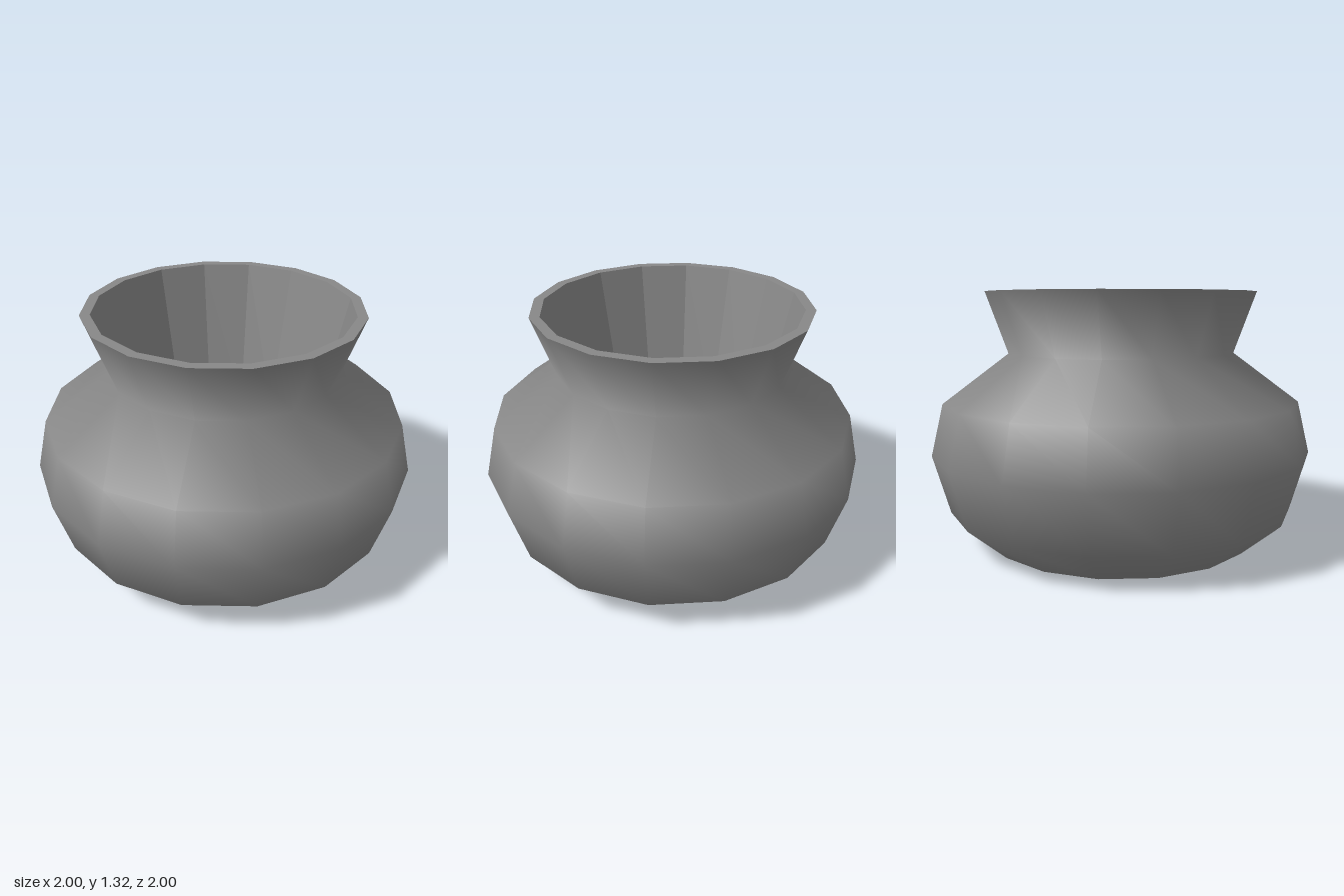
import * as THREE from 'three';

const SIDES = 16;

// Turns a [radius, height] profile around the y axis
function turned(name, profile, flatShading) {
  const points = profile.map(([r, y]) => new THREE.Vector2(r, y));
  const geometry = new THREE.LatheGeometry(points, SIDES);
  geometry.normalizeNormals();
  const material = new THREE.MeshStandardMaterial({
    color: 0x888888, flatShading, side: THREE.DoubleSide,
  });
  const mesh = new THREE.Mesh(geometry, material);
  mesh.name = name;
  return mesh;
}

export function createModel() {
  const pot = new THREE.Group();
  pot.name = 'pot';

  // Smooth outer shell, open at the base, with a flared neck
  pot.add(turned('outerShell', [
    [0.71, 0], [0.913, 0.175], [1, 0.48], [0.937, 0.748], [0.597, 1.0], [0.71, 1.317],
  ], false));

  // Flat ring around the mouth
  pot.add(turned('rim', [[0.71, 1.317], [0.658, 1.317]], true));

  // Faceted tapering inner wall
  pot.add(turned('innerWall', [[0.658, 1.317], [0.487, 0.54]], true));

  // Inner floor, raised above the open base
  pot.add(turned('innerFloor', [[0.487, 0.54], [0, 0.54]], true));

  return pot;
}
